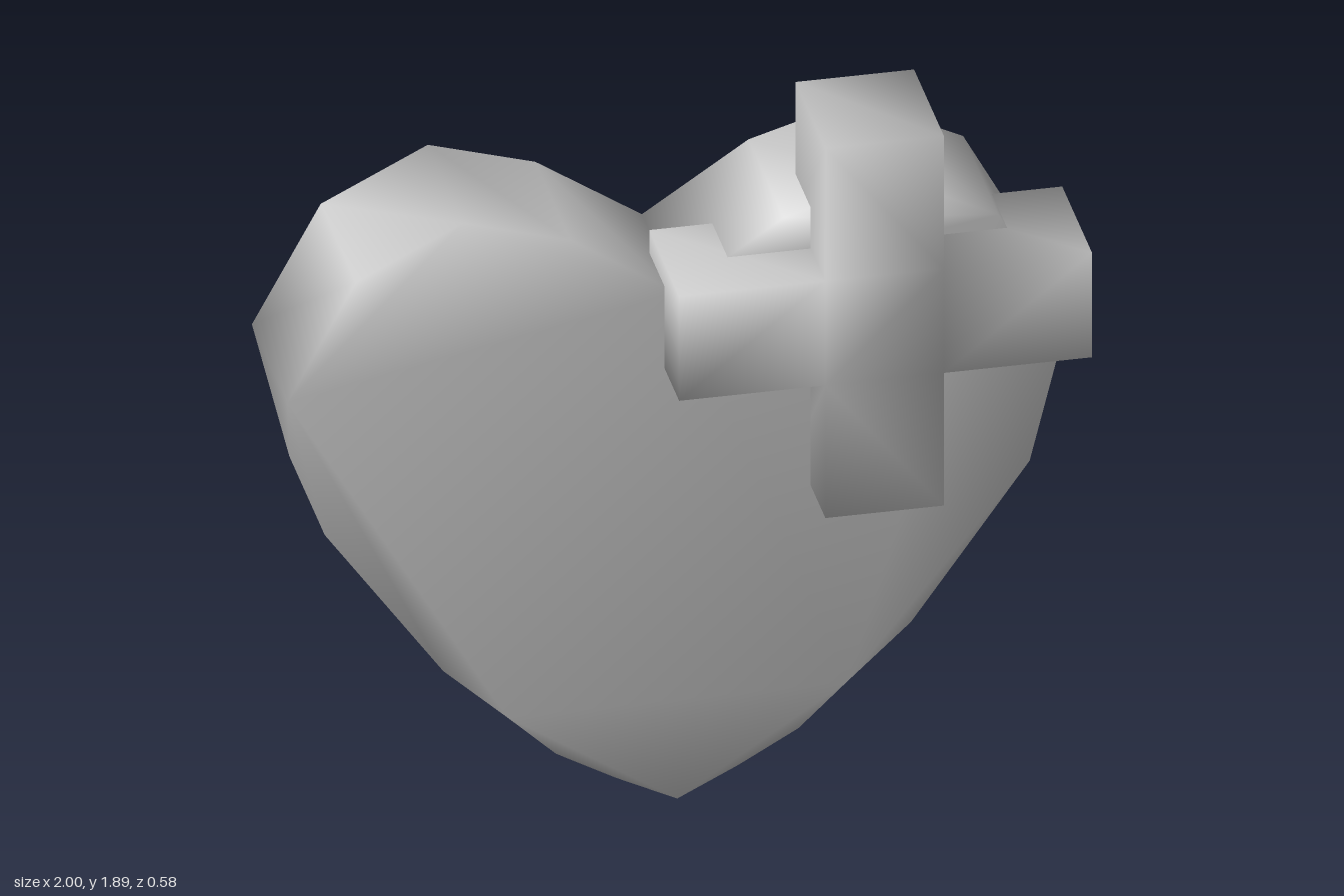
import * as THREE from 'three';
import { mergeVertices } from 'three/addons/utils/BufferGeometryUtils.js';

const material = new THREE.MeshStandardMaterial({ color: 0xcccccc });

// Extrude an outline from zBack to zFront, with normals shared across its edges
function slab(name, points, zBack, zFront) {
  const shape = new THREE.Shape(points.map(([x, y]) => new THREE.Vector2(x, y)));
  let geometry = new THREE.ExtrudeGeometry(shape, { depth: zFront - zBack, bevelEnabled: false });
  geometry.translate(0, 0, zBack);
  geometry.deleteAttribute('normal');
  geometry.deleteAttribute('uv');
  geometry = mergeVertices(geometry, 1e-4);
  geometry.computeVertexNormals();
  const mesh = new THREE.Mesh(geometry, material);
  mesh.name = name;
  return mesh;
}

export function createModel() {
  const group = new THREE.Group();
  group.name = 'heartWithCross';

  // Heart: half outline from the bottom tip up to the cleft, mirrored about its axis
  const axis = -0.013;
  const half = [
    [0, 0], [0.155, 0.077], [0.307, 0.163], [0.43, 0.28], [0.592, 0.43], [0.892, 0.85],
    [0.987, 1.235], [0.813, 1.555], [0.542, 1.69], [0.27, 1.61], [0, 1.43],
  ];
  const rightSide = half.map(([x, y]) => [axis + x, y]);
  const leftSide = half.slice(1, -1).reverse().map(([x, y]) => [axis - x, y]);
  group.add(slab('heart', [...rightSide, ...leftSide], -0.29, 0.12));

  // Cross set into the upper front of the heart
  const [x0, x1, x2, x3] = [-0.045, 0.325, 0.625, 1.0];
  const [y0, y1, y2, y3] = [0.845, 1.22, 1.515, 1.89];
  group.add(slab('cross', [
    [x1, y0], [x2, y0], [x2, y1], [x3, y1], [x3, y2], [x2, y2],
    [x2, y3], [x1, y3], [x1, y2], [x0, y2], [x0, y1], [x1, y1],
  ], -0.057, 0.29));

  return group;
}
